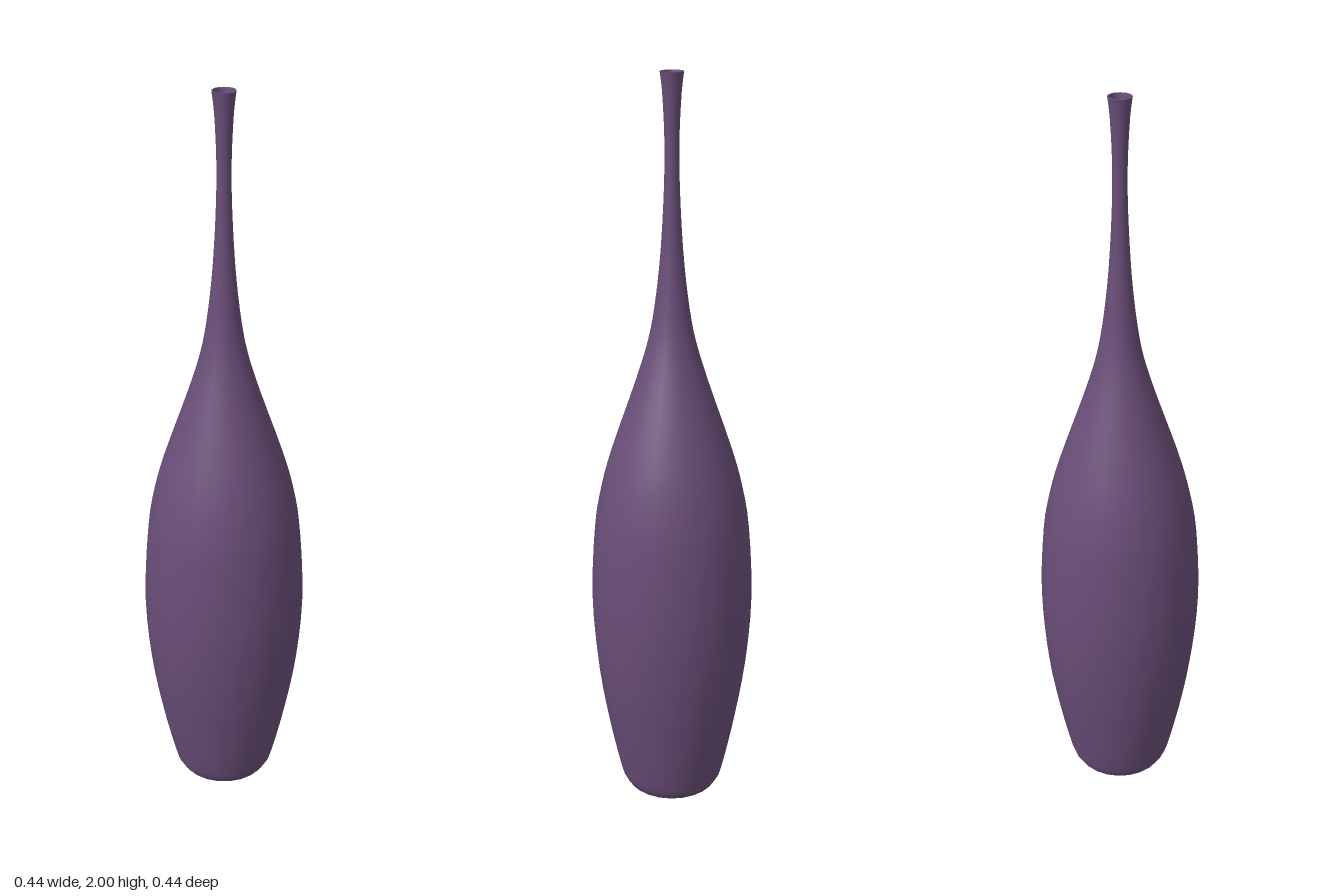
import * as THREE from 'three';

const SIDES = 24;

export function createModel() {
  const vase = new THREE.Group();
  vase.name = 'vase';
  const plum = new THREE.MeshStandardMaterial({ color: 0x6a4e78 });
  plum.name = 'plum glaze';

  // Each part is turned from a radius/height profile; separate parts keep their shared edges sharp
  const turn = (name, profile) => {
    const points = profile.map(([r, y]) => new THREE.Vector2(r, y));
    const mesh = new THREE.Mesh(new THREE.LatheGeometry(points, SIDES), plum);
    mesh.name = name;
    vase.add(mesh);
  };

  // Smooth curve through the outer silhouette
  const outline = new THREE.SplineCurve([
    [0.132, 0.008], [0.146, 0.04], [0.18, 0.2], [0.208, 0.38], [0.221, 0.58],
    [0.21, 0.79], [0.19, 0.91], [0.16, 1.02], [0.095, 1.21], [0.062, 1.32],
    [0.045, 1.41], [0.032, 1.52], [0.024, 1.63], [0.019, 1.75], [0.019, 1.85],
    [0.024, 1.95], [0.03, 2],
  ].map(([r, y]) => new THREE.Vector2(r, y)));
  const wall = outline.getPoints(48).map((p) => [p.x, p.y]);

  turn('body', wall);
  turn('base', [[0, 0], [0.128, 0]]);
  turn('baseBevel', [[0.128, 0], [0.132, 0.008]]);
  turn('rim', [[0.03, 2], [0.026, 2]]);

  // Hollow inside, from the flared mouth through the neck to the floor
  turn('innerWall', [
    [0.026, 2], [0.019, 1.95], [0.015, 1.85], [0.015, 1.75], [0.019, 1.63],
    [0.026, 1.52], [0.037, 1.41], [0.085, 1.21], [0.148, 1.02], [0.198, 0.79],
    [0.209, 0.58], [0.196, 0.38], [0.168, 0.2], [0.135, 0.04],
  ]);
  turn('innerFloor', [[0.135, 0.04], [0, 0.04]]);

  return vase;
}
